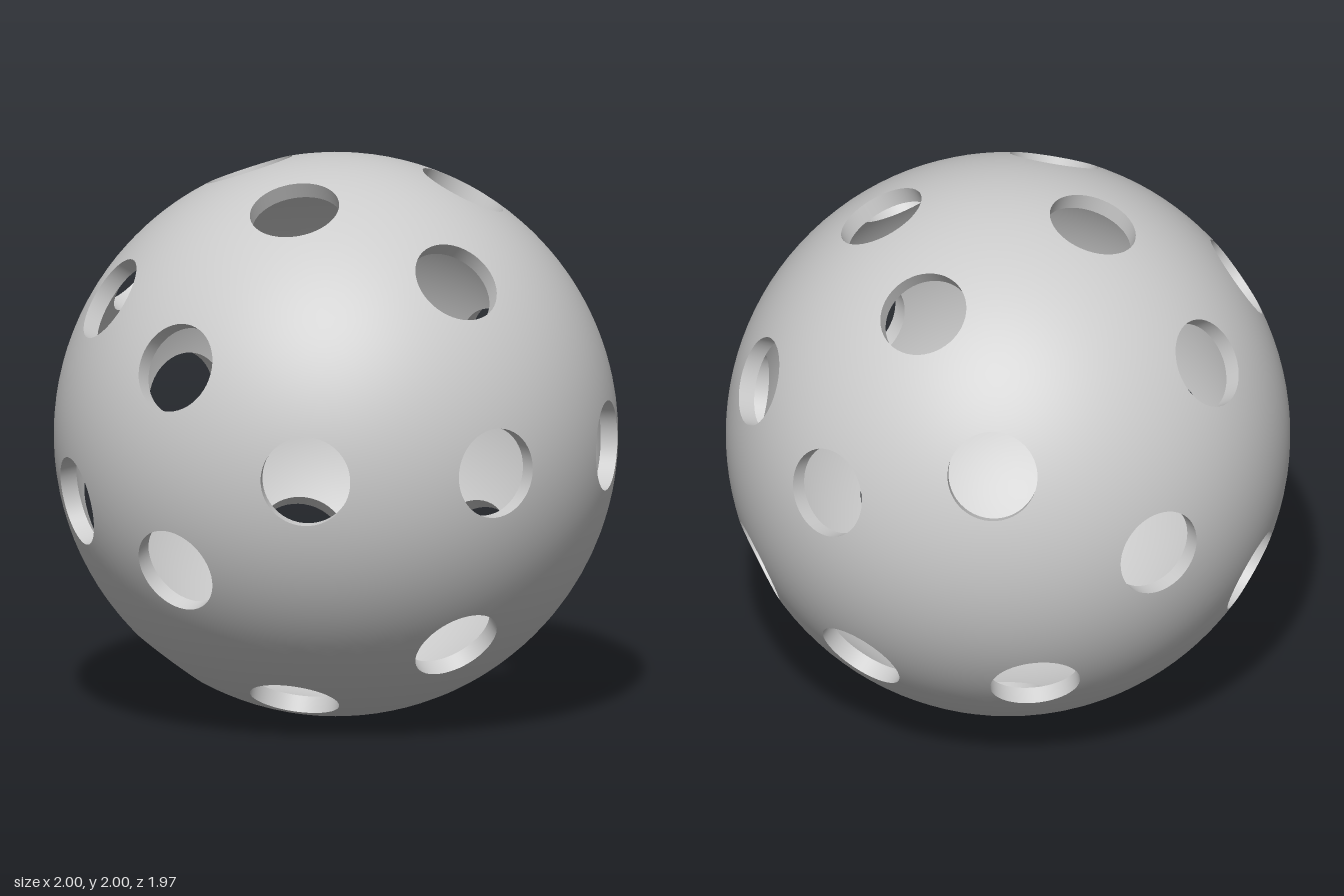
import * as THREE from 'three';
import { ConvexGeometry } from 'three/addons/geometries/ConvexGeometry.js';

const OUTER = 1, INNER = 0.94, HOLE = 0.16, SIDES = 48;
const UP = new THREE.Vector3(0, 1, 0);

// Direction from polar angle off the z axis and azimuth around it, in degrees
function direction(polar, azimuth) {
  const p = THREE.MathUtils.degToRad(polar), a = THREE.MathUtils.degToRad(azimuth);
  return new THREE.Vector3(Math.sin(p) * Math.cos(a), Math.sin(p) * Math.sin(a), Math.cos(p));
}

// Each half has one hole at its pole, a ring of 4 and a ring of 8; the halves are twisted
function holeDirections() {
  const dirs = [direction(0, 0), direction(180, 0)];
  for (let i = 0; i < 4; i++) dirs.push(direction(41.3, i * 90), direction(138.7, 33.75 + i * 90));
  for (let i = 0; i < 8; i++) dirs.push(direction(74.5, 22.5 + i * 45), direction(105.7, 11.25 + i * 45));
  return dirs;
}

const rimHeight = (radius) => Math.sqrt(radius * radius - HOLE * HOLE);

// Perforated sphere: hull of hole rims and evenly spread points, with the hole caps dropped
function skin(radius, dirs, inward) {
  const points = [];
  const angle = Math.asin(HOLE / radius);
  for (const d of dirs) {
    const q = new THREE.Quaternion().setFromUnitVectors(UP, d);
    points.push(d.clone().multiplyScalar(radius));
    for (let i = 0; i < SIDES; i++) {
      const a = (i / SIDES) * Math.PI * 2;
      points.push(new THREE.Vector3(HOLE * Math.sin(a), rimHeight(radius), HOLE * Math.cos(a)).applyQuaternion(q));
    }
  }
  const count = 4000, clear = Math.cos(angle + 0.025);
  for (let i = 0; i < count; i++) {
    const y = 1 - (2 * i + 1) / count, r = Math.sqrt(1 - y * y), a = i * Math.PI * (3 - Math.sqrt(5));
    const p = new THREE.Vector3(r * Math.cos(a), y, r * Math.sin(a));
    if (dirs.every((d) => d.dot(p) < clear)) points.push(p.multiplyScalar(radius));
  }

  const hull = new ConvexGeometry(points).getAttribute('position');
  const inside = radius * Math.cos(angle * 0.5);
  const positions = [], normals = [];
  for (let i = 0; i < hull.count; i += 3) {
    const tri = [0, 1, 2].map((k) => new THREE.Vector3().fromBufferAttribute(hull, i + k));
    if (tri.some((v) => dirs.some((d) => d.dot(v) > inside))) continue;
    if (inward) tri.reverse();
    for (const v of tri) {
      positions.push(v.x, v.y, v.z);
      v.normalize().multiplyScalar(inward ? -1 : 1);
      normals.push(v.x, v.y, v.z);
    }
  }
  const geometry = new THREE.BufferGeometry();
  geometry.setAttribute('position', new THREE.Float32BufferAttribute(positions, 3));
  geometry.setAttribute('normal', new THREE.Float32BufferAttribute(normals, 3));
  return geometry;
}

export function createModel() {
  const group = new THREE.Group();
  group.name = 'perforatedBall';
  const material = new THREE.MeshStandardMaterial({ color: 0xcccccc });
  const dirs = holeDirections();

  const add = (name, geometry) => {
    const mesh = new THREE.Mesh(geometry, material);
    mesh.name = name;
    mesh.position.y = OUTER;
    group.add(mesh);
    return mesh;
  };

  // Outside and inside of the thin shell
  add('outerShell', skin(OUTER, dirs, false));
  add('innerShell', skin(INNER, dirs, true));

  // Straight walls through the shell, facing into each hole
  const wall = new THREE.LatheGeometry(
    [new THREE.Vector2(HOLE, rimHeight(OUTER)), new THREE.Vector2(HOLE, rimHeight(INNER))], SIDES);
  for (const d of dirs) add('holeWall', wall).quaternion.setFromUnitVectors(UP, d);

  return group;
}
